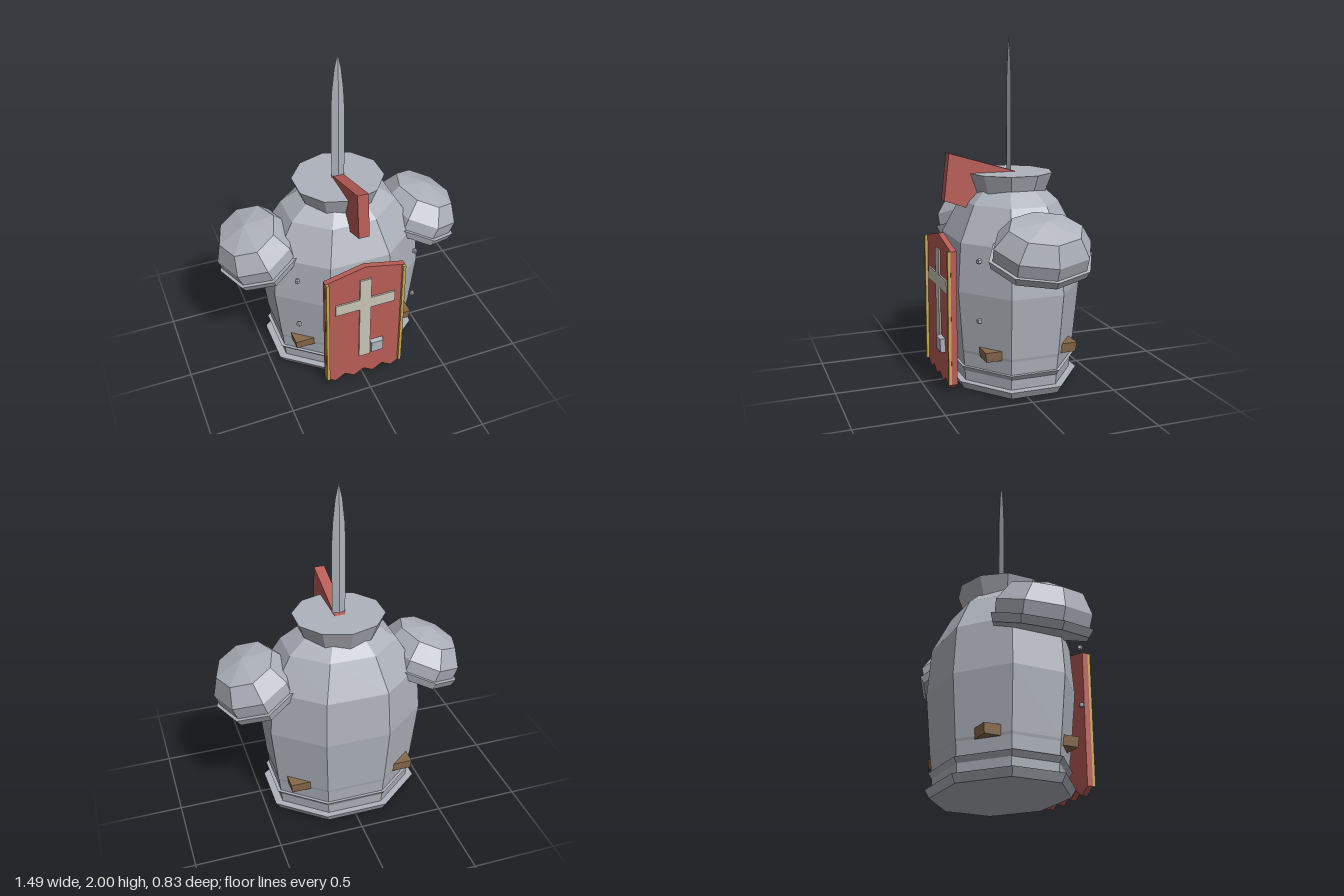
import * as THREE from 'three';

const mat = (name, color) => {
  const m = new THREE.MeshStandardMaterial({ color, flatShading: true });
  m.name = name;
  return m;
};

export function createModel() {
  const root = new THREE.Group();
  root.name = 'armour';
  const steel = mat('steel', 0xaeb2bb);
  const red = mat('red cloth', 0xb85c56);
  const cream = mat('cream', 0xc9c5b6);
  const gold = mat('gold', 0xc9a852);
  const leather = mat('brown leather', 0x86694a);
  const CZ = -0.045; // depth of the body axis

  const add = (name, geo, material, x = 0, y = 0, z = 0, parent = root) => {
    const m = new THREE.Mesh(geo, material);
    m.name = name;
    m.position.set(x, y, z);
    parent.add(m);
    return m;
  };
  // Faceted turned shape; profile is [radius, y] from bottom to top
  const turned = (profile, sides, phase, depth) =>
    new THREE.LatheGeometry(profile.map(([r, y]) => new THREE.Vector2(r, y)), sides, phase)
      .scale(1, 1, depth);
  const box = (w, h, d) => new THREE.BoxGeometry(w, h, d);
  const plate = (points, depth) => new THREE.ExtrudeGeometry(
    new THREE.Shape(points.map(([x, y]) => new THREE.Vector2(x, y))),
    { depth, bevelEnabled: false });

  // Breastplate: flat-sided octagon, profile given as half widths
  const octagon = (profile) => turned(
    profile.map(([w, y]) => [w / Math.cos(Math.PI / 8), y]), 8, Math.PI / 8, 0.805);
  add('breastplate', octagon([
    [0, 0.02], [0.4, 0.02], [0.42, 0.22], [0.424, 0.235], [0.46, 0.585],
    [0.438, 0.86], [0.32, 1.06], [0.22, 1.14], [0, 1.14],
  ]), steel, 0, 0, CZ);

  // Flared skirt bands
  add('lowerSkirtBand', octagon([[0, 0.004], [0.42, 0.004], [0.448, 0.05], [0, 0.05]]), steel, 0, 0, CZ);
  add('upperSkirtBand', octagon([[0, 0.098], [0.4, 0.098], [0.432, 0.14], [0, 0.14]]), steel, 0, 0, CZ);

  // Closed collar
  add('collar', turned([[0, 1.02], [0.2, 1.02], [0.225, 1.11], [0.27, 1.225], [0, 1.225]],
    10, 0, 0.945), steel, 0, 0, CZ);

  // Blade: diamond section narrowing to the tip
  add('blade', turned([[0, 1.1], [0.037, 1.1], [0.04, 1.35], [0.04, 1.66], [0.034, 1.78],
    [0.02, 1.91], [0, 2]], 4, 0, 0.36), steel, 0, 0, CZ);

  // Crest, cut as a side outline and turned so that it runs front to back
  const crest = plate([[0.325, 1.345], [-0.11, 1.215], [-0.11, 1.05], [0.2, 1.02], [0.355, 1.075]], 0.064)
    .translate(0, 0, -0.032).rotateY(-Math.PI / 2);
  add('crest', crest, red);

  // Shoulder guards, tilted outwards
  for (const s of [1, -1]) {
    const guard = new THREE.Group();
    guard.name = s > 0 ? 'leftShoulderGuard' : 'rightShoulderGuard';
    guard.position.set(0.49 * s, 0.8, CZ);
    guard.rotation.z = -s * Math.PI / 9;
    root.add(guard);
    add('shoulderDome', turned([[0, 0], [0.23, 0], [0.235, 0.1], [0.175, 0.205], [0, 0.247]],
      8, 0, 1.2), steel, 0, 0, 0, guard);
    add('shoulderRim', turned([[0, -0.022], [0.235, -0.022], [0.25, 0.025], [0, 0.025]],
      8, 0, 1.2), steel, 0, 0, 0, guard);
  }

  // Banner with a peaked top and a zigzag hem
  const outline = [[0.245, 0.83], [0, 0.887], [-0.245, 0.83]];
  for (let i = 0; i <= 8; i++) outline.push([-0.245 + i * 0.06125, i % 2 ? 0.02 : 0.06]);
  add('banner', plate(outline, 0.034), red, 0, 0, 0.352);
  for (const s of [1, -1]) {
    add('bannerTrim', box(0.018, 0.77, 0.018), gold, s * 0.235, 0.445, 0.394);
  }

  // Cross as one thin plate
  const half = [[0.035, 0.185], [0.035, 0.575], [0.185, 0.575], [0.185, 0.65], [0.035, 0.65], [0.035, 0.795]];
  const mirrored = half.map(([x, y]) => [-x, y]).reverse();
  add('cross', plate([...half, ...mirrored], 0.009), cream, 0, 0, 0.386);

  // Small clasp on the banner, with a chamfered front
  const clasp = new THREE.CylinderGeometry(0.053, 0.061, 0.028, 4).rotateY(Math.PI / 4).rotateX(Math.PI / 2);
  add('clasp', clasp, steel, 0.076, 0.252, 0.4);

  // Leather blocks round the waist and rivets on the front
  for (const s of [1, -1]) {
    for (const f of [1, -1]) {
      const block = new THREE.CylinderGeometry(Math.SQRT1_2, Math.SQRT1_2 * 0.9, 0.056, 4)
        .rotateY(Math.PI / 4).scale(0.13, 1, 0.106);
      add('waistBlock', block, leather, s * 0.315, 0.246, CZ + f * 0.222);
    }
    for (const y of [0.46, 0.795]) {
      add('rivet', new THREE.SphereGeometry(0.018, 5, 3), steel, s * 0.365, y, 0.262);
    }
  }
  return root;
}
